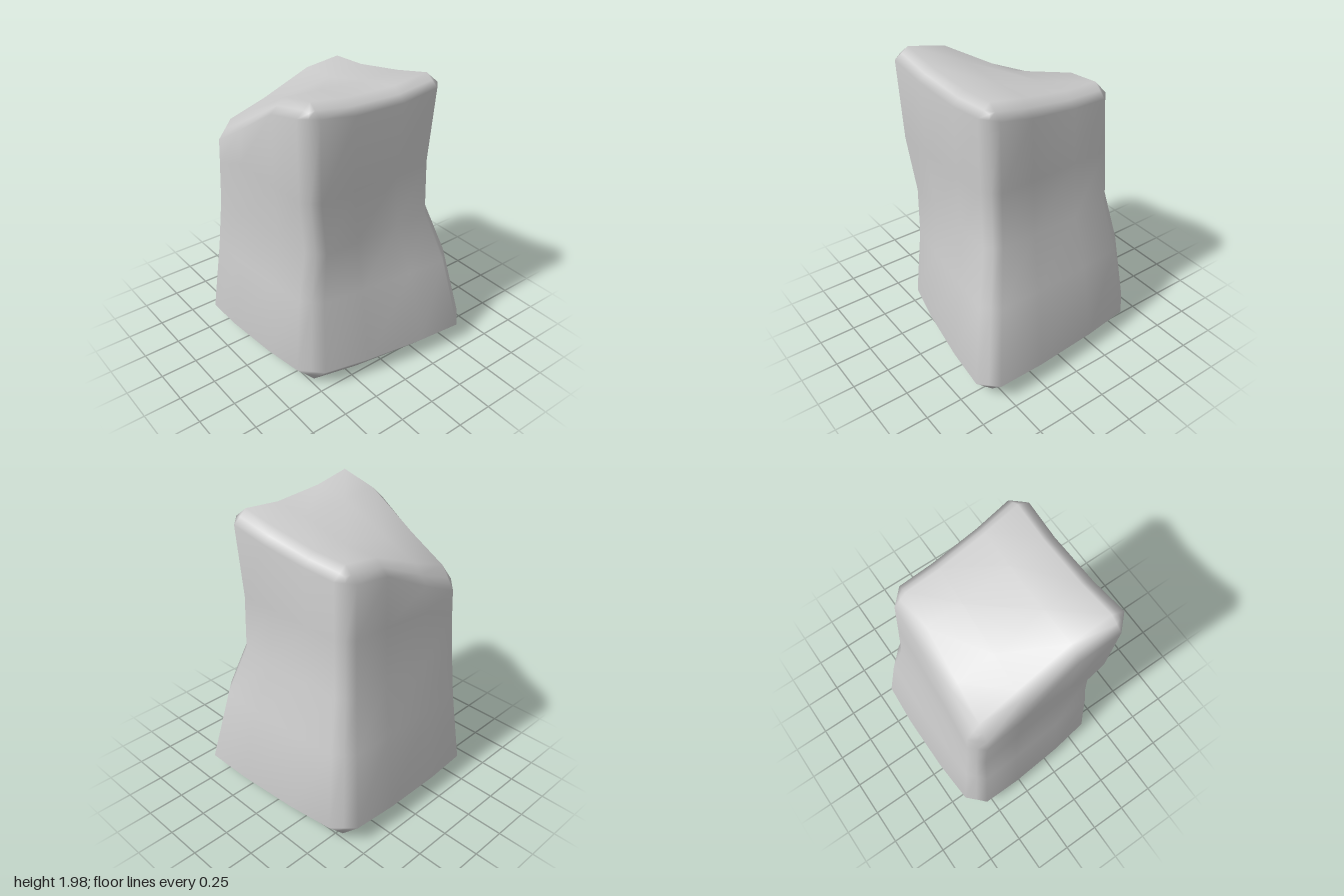
import * as THREE from 'three';
import { mergeVertices } from 'three/addons/utils/BufferGeometryUtils.js';

// Corner positions [x, z] per row, bottom to top: back -x, back +x, front -x, front +x; then side bulge
const ROWS = [
  [-0.66, -0.65, 0.57, -0.65, -0.57, 0.46, 0.66, 0.67, 0.035],
  [-0.66, -0.65, 0.57, -0.65, -0.57, 0.46, 0.66, 0.67, 0.035],
  [-0.61, -0.60, 0.51, -0.59, -0.53, 0.43, 0.56, 0.57, 0.015],
  [-0.585, -0.58, 0.44, -0.52, -0.50, 0.45, 0.45, 0.465, 0],
  [-0.575, -0.565, 0.425, -0.50, -0.56, 0.485, 0.44, 0.46, -0.005],
  [-0.57, -0.56, 0.41, -0.485, -0.58, 0.505, 0.47, 0.485, -0.01],
  [-0.57, -0.56, 0.41, -0.485, -0.58, 0.505, 0.47, 0.485, -0.01],
];
// Height of the sagging top, rows from back to front, columns from -x to +x
const TOP = [
  [1.48, 1.62, 1.79, 1.83],
  [1.70, 1.75, 1.80, 1.845],
  [1.93, 1.90, 1.88, 1.89],
  [2.02, 1.95, 1.93, 1.97],
];
const BEVEL = 0.09;
const LINES = [0, BEVEL, 1 / 3, 2 / 3, 1 - BEVEL, 1];
const { lerp, clamp } = THREE.MathUtils;

function topHeight(u, w) {
  const i = Math.min(2, Math.floor(u * 3)), j = Math.min(2, Math.floor(w * 3));
  const row = (r) => lerp(TOP[r][i], TOP[r][i + 1], u * 3 - i);
  return lerp(row(j), row(j + 1), w * 3 - j);
}

// Maps a lattice point (u, row, w) to the bent block
function rowPoint(u, r, w) {
  const c = ROWS[r], t = topHeight(u, w);
  const mid = (a) => 4 * a * (1 - a) * c[8];
  const x = lerp(lerp(c[0], c[2], u), lerp(c[4], c[6], u), w) + (2 * u - 1) * mid(w);
  const z = lerp(lerp(c[1], c[3], u), lerp(c[5], c[7], u), w) + (2 * w - 1) * mid(u);
  const low = 0.02 - 0.08 * u * (1 - u);
  const y = [low, 0.13, 0.65, 1.0, Math.min(1.38, t - 0.26), t - 0.09, t][r];
  return new THREE.Vector3(x, Math.max(0, y), z);
}

export function createModel() {
  const group = new THREE.Group();
  let geo = new THREE.BoxGeometry(5, 6, 5, 5, 6, 5);
  const p = geo.attributes.position;
  for (let i = 0; i < p.count; i++) {
    const q = [
      LINES[Math.round(p.getX(i) + 2.5)],
      Math.round(p.getY(i) + 3),
      LINES[Math.round(p.getZ(i) + 2.5)],
    ];
    // Chamfer: share the outward offset among the axes it acts on
    const core = [clamp(q[0], BEVEL, 1 - BEVEL), clamp(q[1], 1, 5), clamp(q[2], BEVEL, 1 - BEVEL)];
    const k = Math.max(1, q.filter((v, a) => v !== core[a]).length);
    const [u, v, w] = q.map((s, a) => core[a] + (s - core[a]) / k);
    const r = Math.min(5, Math.floor(v));
    const point = rowPoint(u, r, w).lerp(rowPoint(u, r + 1, w), v - r);
    p.setXYZ(i, point.x, point.y, point.z);
  }
  // Weld the sides for smooth shading
  geo.deleteAttribute('normal');
  geo.deleteAttribute('uv');
  geo = mergeVertices(geo, 1e-4);
  geo.computeVertexNormals();

  const block = new THREE.Mesh(geo, new THREE.MeshStandardMaterial({ color: 0xcccccc }));
  block.name = 'stoneBlock';
  group.add(block);
  return group;
}
